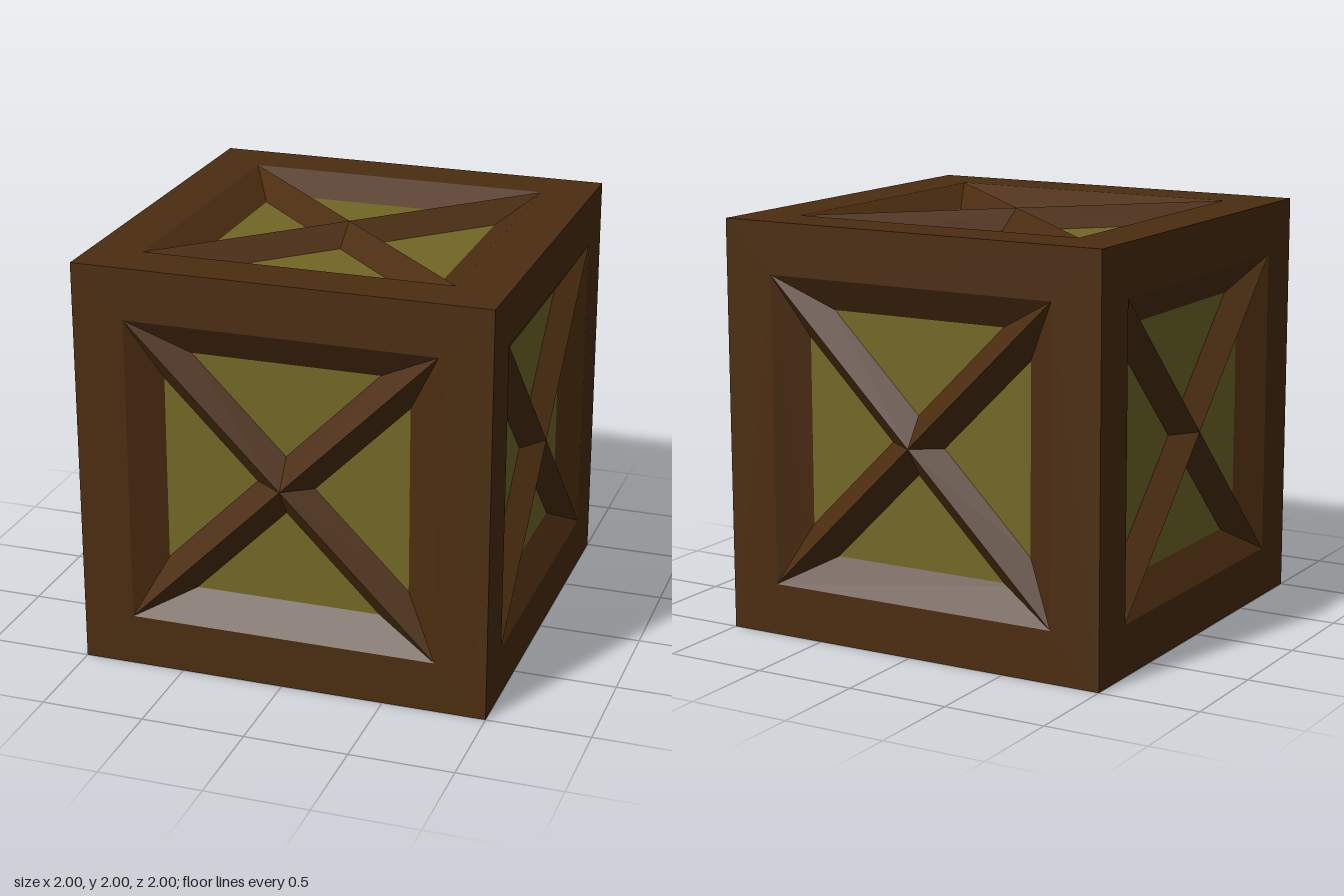
import * as THREE from 'three';

const OUTER = 1;      // half size of the crate
const RIM = 0.75;     // half size of the opening in each frame
const INNER = 0.594;  // half size of the sunken panel
const DEPTH = 0.097;  // how far the panel is sunk
const ARM = 0.14;     // brace half-width measured along x or y

const wood = new THREE.MeshStandardMaterial({ color: 0x4c2d10 });
wood.name = 'darkWood';
const board = new THREE.MeshStandardMaterial({ color: 0x726725 });
board.name = 'olivePanel';

// Flat-shaded four-cornered faces, corners counter-clockwise
function quads(list) {
  const points = list.flatMap(([a, b, c, d]) => [a, b, c, a, c, d]).flat();
  const geometry = new THREE.BufferGeometry();
  geometry.setAttribute('position', new THREE.Float32BufferAttribute(points, 3));
  geometry.computeVertexNormals();
  return geometry;
}

function square(half, Type = THREE.Shape) {
  return new Type([[-half, -half], [half, -half], [half, half], [-half, half]]
    .map(([x, y]) => new THREE.Vector2(x, y)));
}

function part(name, geometry, material) {
  const mesh = new THREE.Mesh(geometry, material);
  mesh.name = name;
  return mesh;
}

// One side of the crate, facing +z with its outer surface at z = 0
function createSide() {
  const side = new THREE.Group();

  // Flat outer frame
  const ring = square(OUTER);
  ring.holes.push(square(RIM, THREE.Path));
  side.add(part('frame', new THREE.ShapeGeometry(ring), wood));

  // Sunken panel
  const panel = part('panel', new THREE.PlaneGeometry(INNER * 2, INNER * 2), board);
  panel.position.z = -DEPTH;
  side.add(panel);

  // Sloping inner edge of the frame
  const bevel = quads([[
    [-RIM, -RIM, 0], [RIM, -RIM, 0], [INNER, -INNER, -DEPTH], [-INNER, -INNER, -DEPTH],
  ]]);

  // Ridged brace arm from the centre out to a pointed corner
  const end = INNER - ARM;
  const arm = quads([
    [[0, 0, 0], [ARM, 0, -DEPTH], [INNER, end, -DEPTH], [RIM, RIM, 0]],
    [[0, 0, 0], [RIM, RIM, 0], [end, INNER, -DEPTH], [0, ARM, -DEPTH]],
  ]);

  for (let i = 0; i < 4; i++) {
    for (const mesh of [part('bevel', bevel, wood), part('braceArm', arm, wood)]) {
      mesh.rotation.z = i * Math.PI / 2;
      side.add(mesh);
    }
  }
  return side;
}

export function createModel() {
  const crate = new THREE.Group();
  crate.name = 'crate';
  const q = Math.PI / 2;
  const sides = [
    ['frontSide', 0, 0], ['leftSide', 0, q], ['backSide', 0, 2 * q],
    ['rightSide', 0, -q], ['topSide', -q, 0], ['bottomSide', q, 0],
  ];
  for (const [name, rx, ry] of sides) {
    const side = createSide();
    side.name = name;
    side.rotation.set(rx, ry, 0);
    side.position.set(0, 0, OUTER).applyEuler(side.rotation);
    side.position.y += OUTER;
    crate.add(side);
  }
  return crate;
}
